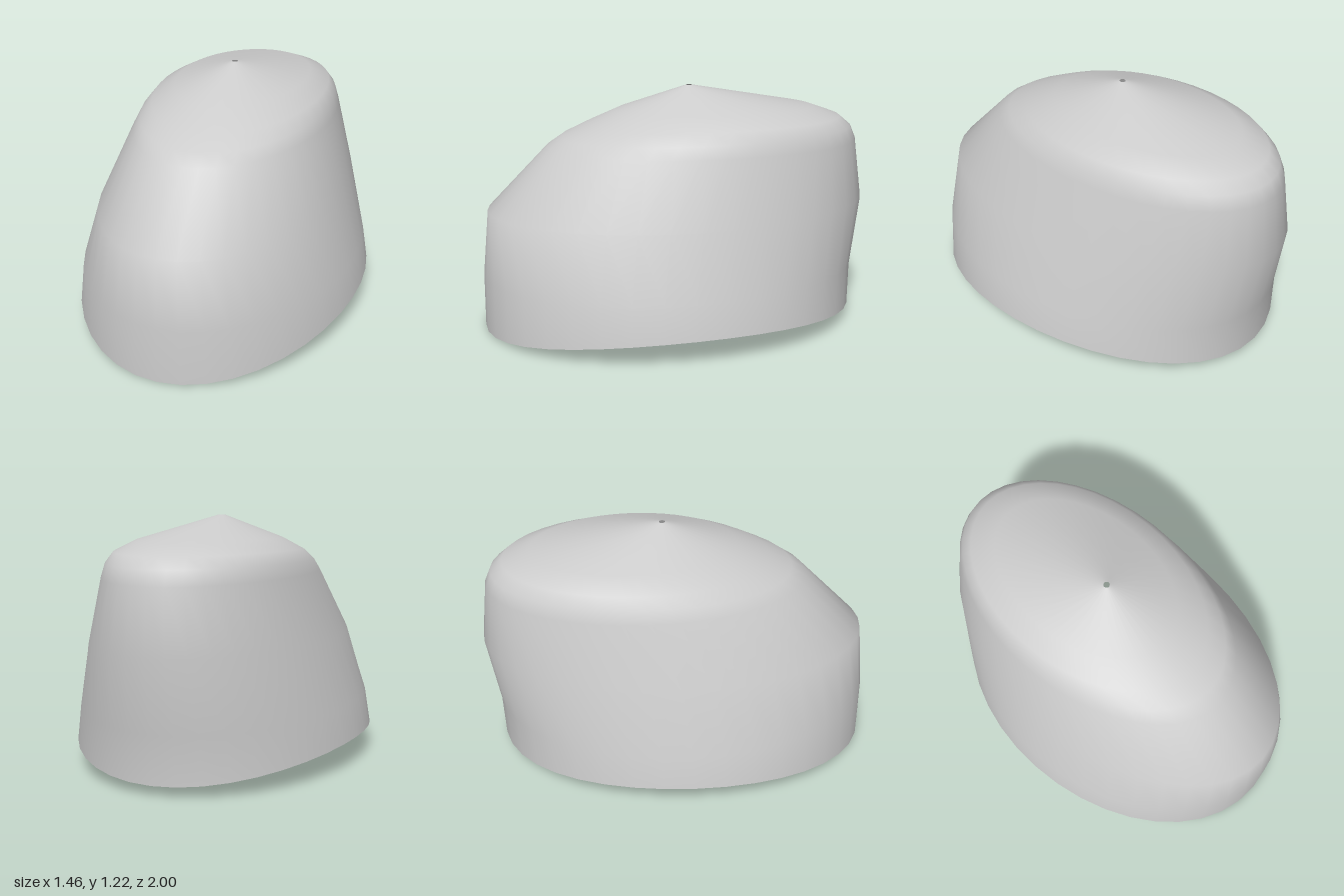
import * as THREE from 'three';

// Each ring: front z, front y, side x, side y, back z, back y
const RINGS = [
  [1.0, 0.0, 0.73, 0.135, -0.94, 0.05],
  [0.995, 0.28, 0.70, 0.30, -0.945, 0.28],
  [0.96, 0.615, 0.60, 0.62, -1.0, 0.63],
  [0.65, 0.93, 0.492, 0.94, -0.96, 0.93],
  [0.58, 0.975, 0.47, 1.0, -0.93, 1.0],
  [0.47, 1.025, 0.43, 1.055, -0.87, 1.05],
  [0.30, 1.10, 0.33, 1.11, -0.73, 1.10],
  [-0.06, 1.22, 0.015, 1.22, -0.09, 1.22],
];
const SEGMENTS = 40;

// Skin through elliptical rings whose rim height bends from front to side to back
function loftRings(rings, segments) {
  const positions = [], indices = [];
  rings.forEach(([fz, fy, sx, sy, bz, by], i) => {
    const mid = (fz + bz) / 2, depth = (fz - bz) / 2;
    const tilt = (fy - by) / 2, bow = (fy + by) / 2 - sy;
    for (let j = 0; j < segments; j++) {
      const t = (j / segments) * Math.PI * 2, c = Math.cos(t);
      positions.push(sx * Math.sin(t), sy + tilt * c + bow * c * c, mid + depth * c);
      if (i < rings.length - 1) {
        const k = (j + 1) % segments;
        const a = i * segments + j, b = i * segments + k;
        indices.push(a, b, a + segments, b, b + segments, a + segments);
      }
    }
  });
  const geometry = new THREE.BufferGeometry();
  geometry.setAttribute('position', new THREE.Float32BufferAttribute(positions, 3));
  geometry.setIndex(indices);
  geometry.computeVertexNormals();
  return geometry;
}

export function createModel() {
  const group = new THREE.Group();
  group.name = 'cap';
  const grey = new THREE.MeshStandardMaterial({ color: 0xcccccc, side: THREE.DoubleSide });
  grey.name = 'light grey';

  // Thin shell, open below, with a pinhole at the peak
  const shell = new THREE.Mesh(loftRings(RINGS, SEGMENTS), grey);
  shell.name = 'shell';
  group.add(shell);
  return group;
}
